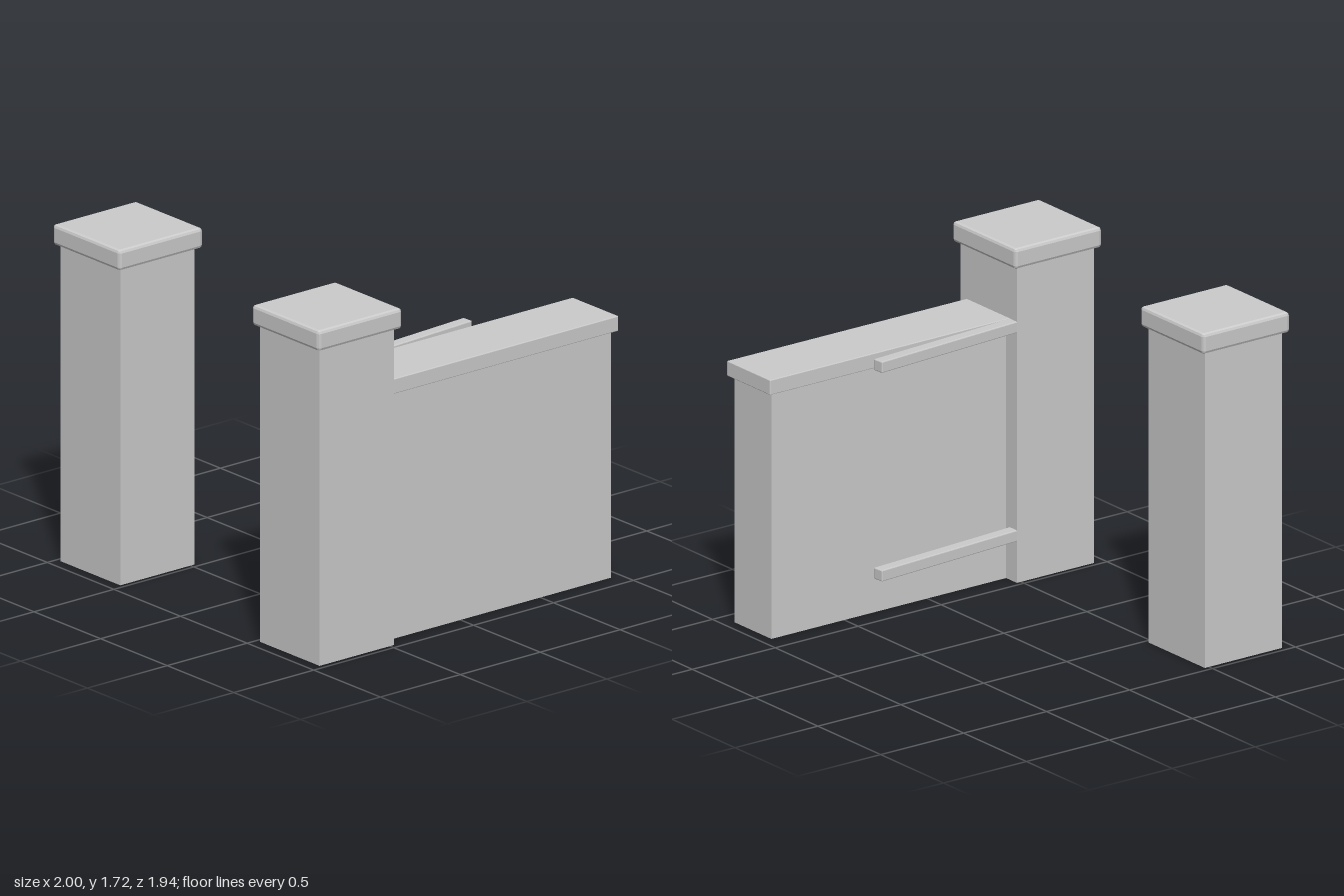
import * as THREE from 'three';
import { RoundedBoxGeometry } from 'three/addons/geometries/RoundedBoxGeometry.js';

export function createModel() {
  const model = new THREE.Group();
  model.name = 'gateway';
  const stone = new THREE.MeshStandardMaterial({ color: 0xcccccc });
  stone.name = 'grey stone';

  // Box given by its min and max corners, with optional chamfered edges
  function block(name, parent, [x0, y0, z0], [x1, y1, z1], chamfer = 0) {
    const size = [x1 - x0, y1 - y0, z1 - z0];
    let geometry;
    if (chamfer) {
      geometry = new RoundedBoxGeometry(...size, 1, chamfer);
      geometry.computeVertexNormals(); // flat chamfer faces
    } else {
      geometry = new THREE.BoxGeometry(...size);
    }
    const mesh = new THREE.Mesh(geometry, stone);
    mesh.name = name;
    mesh.position.set((x0 + x1) / 2, (y0 + y1) / 2, (z0 + z1) / 2);
    parent.add(mesh);
    return mesh;
  }

  // Gate pillars with overhanging cap stones
  for (const [side, x] of [['left', 0.748], ['right', -0.748]]) {
    const pillar = new THREE.Group();
    pillar.name = side + 'Pillar';
    pillar.position.x = x;
    block('pillarShaft', pillar, [-0.224, 0, 0.475], [0.224, 1.62, 0.94]);
    block('pillarCap', pillar, [-0.252, 1.615, 0.445], [0.252, 1.72, 0.968], 0.016);
    model.add(pillar);
  }

  // Side wall running back from the left pillar, with its coping
  const wall = new THREE.Group();
  wall.name = 'sideWall';
  block('wallBody', wall, [0.61, 0, -0.94], [0.902, 1.27, 0.48]);
  block('wallCoping', wall, [0.583, 1.26, -0.968], [0.927, 1.337, 0.48], 0.004);
  model.add(wall);

  // Two rails swung slightly away from the wall
  for (const [name, y] of [['lowerRail', 0.24], ['upperRail', 1.307]]) {
    const rail = new THREE.Group();
    rail.name = name;
    rail.position.set(0.495, y, -0.385);
    rail.rotation.y = 0.069;
    block(name + 'Bar', rail, [-0.03, -0.029, 0], [0.03, 0.029, 0.88], 0.005);
    model.add(rail);
  }

  return model;
}
